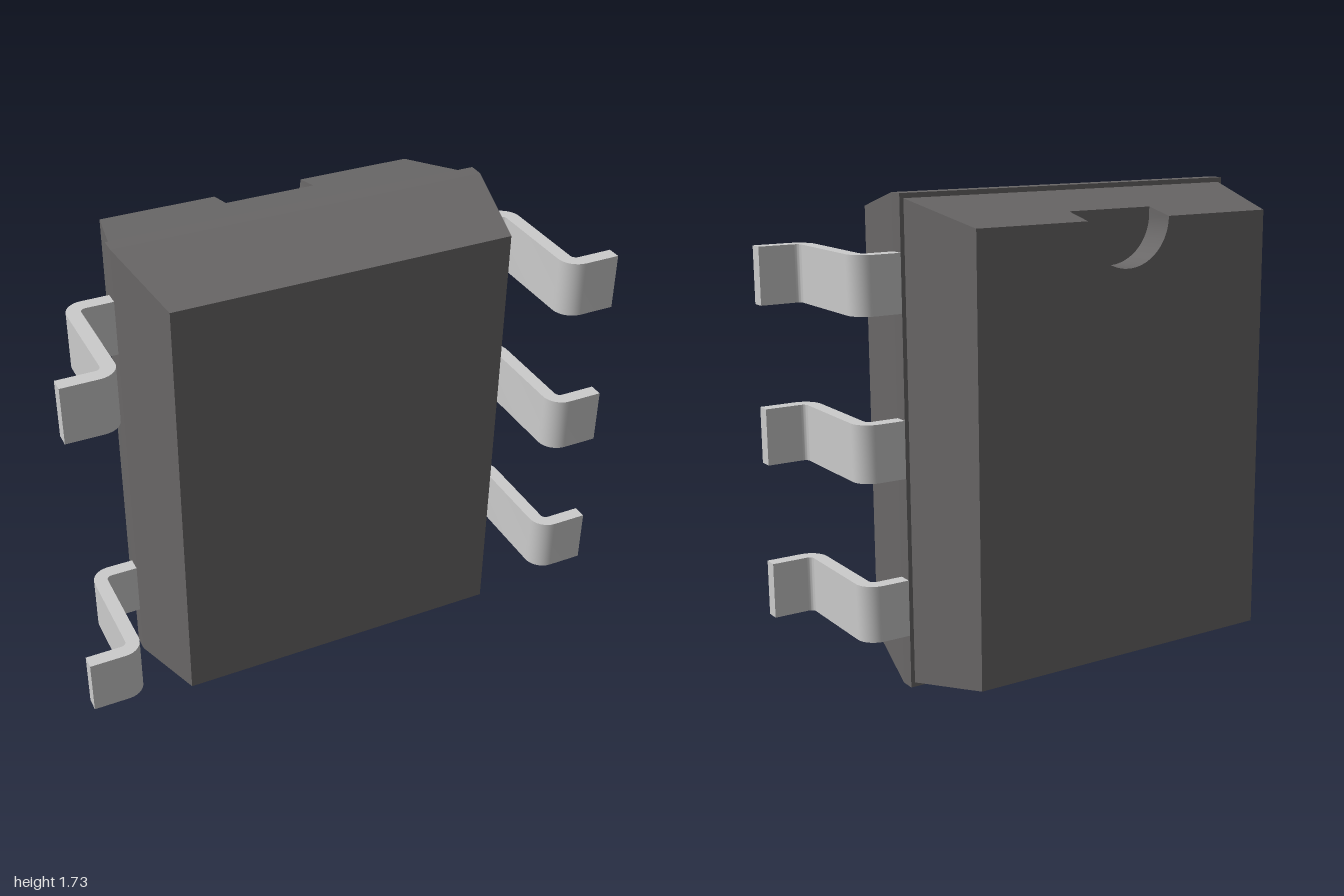
import * as THREE from 'three';
import { toCreasedNormals } from 'three/addons/utils/BufferGeometryUtils.js';

const plastic = new THREE.MeshStandardMaterial({ color: 0x696767 });
const metal = new THREE.MeshStandardMaterial({ color: 0xdededa });

// Outer rectangles of the body: half width, bottom, top, z
const FRONT = { w: 0.61, lo: 0.075, hi: 1.66, z: 0.325 };
const RIM_FRONT = { w: 0.682, lo: 0.004, hi: 1.732, z: -0.015 };
const RIM_BACK = { ...RIM_FRONT, z: -0.07 };
const STEP = { w: 0.667, lo: 0.02, hi: 1.715, z: -0.07 };
const NOTCH_FLOOR = { w: 0.618, lo: 0.067, hi: 1.664, z: -0.3 };
const BACK = { w: 0.595, lo: 0.09, hi: 1.64, z: -0.41 };

function mesh(name, geometry, material) {
  const m = new THREE.Mesh(toCreasedNormals(geometry, 0.5), material);
  m.name = name;
  return m;
}

// Block whose front and back rectangles differ
function taperedBlock(front, back) {
  const g = new THREE.BoxGeometry(1, 1, 1);
  const p = g.attributes.position;
  for (let i = 0; i < p.count; i++) {
    const r = p.getZ(i) > 0 ? front : back;
    p.setXYZ(i, Math.sign(p.getX(i)) * r.w, p.getY(i) > 0 ? r.hi : r.lo, r.z);
  }
  return g;
}

// Back slab with a half-round notch in its top edge
function notchedSlab(front, back, radius) {
  const s = new THREE.Shape();
  s.moveTo(-back.w, back.lo);
  s.lineTo(back.w, back.lo);
  s.lineTo(back.w, back.hi);
  s.lineTo(radius, back.hi);
  s.absarc(0, back.hi, radius, 0, -Math.PI, true);
  s.lineTo(-back.w, back.hi);
  s.closePath();
  const g = new THREE.ExtrudeGeometry(s, { depth: front.z - back.z, bevelEnabled: false, curveSegments: 24 });
  g.translate(0, 0, back.z);
  const p = g.attributes.position;
  for (let i = 0; i < p.count; i++) {
    if (p.getZ(i) < front.z - 0.01) continue;
    const x = p.getX(i), y = p.getY(i);
    if (Math.abs(x) > back.w - 1e-4) p.setX(i, Math.sign(x) * front.w);
    if (y > back.hi - 1e-4) p.setY(i, front.hi);
    else if (y < back.lo + 1e-4) p.setY(i, front.lo);
  }
  return g;
}

// Gull-wing lead: bent strip profile in x and z, extruded upwards
function leadGeometry(side, width) {
  const pts = [];
  const add = (x, z) => pts.push(new THREE.Vector2(side * x, -z));
  const bend = (cx, cz, r, from, to) => {
    for (let i = 0; i <= 8; i++) {
      const a = THREE.MathUtils.degToRad(from + (to - from) * i / 8);
      add(cx + r * Math.cos(a), cz + r * Math.sin(a));
    }
  };
  add(0.6, -0.07);
  bend(0.78, 0, 0.07, -90, 0);
  bend(0.87, 0.337, 0.02, 180, 90);
  add(1, 0.357);
  add(1, 0.407);
  bend(0.87, 0.337, 0.07, 90, 180);
  bend(0.78, 0, 0.02, 0, -90);
  add(0.6, -0.02);
  const g = new THREE.ExtrudeGeometry(new THREE.Shape(pts), { depth: width, bevelEnabled: false });
  g.translate(0, 0, -width / 2);
  return g.rotateX(-Math.PI / 2);
}

export function createModel() {
  const model = new THREE.Group();
  model.name = 'chipPackage';

  const body = new THREE.Group();
  body.name = 'body';
  body.add(
    mesh('frontHalf', taperedBlock(FRONT, RIM_FRONT), plastic),
    mesh('rim', taperedBlock(RIM_FRONT, RIM_BACK), plastic),
    mesh('backHalf', taperedBlock(STEP, NOTCH_FLOOR), plastic),
    mesh('notchedBack', notchedSlab(NOTCH_FLOOR, BACK, 0.168), plastic),
  );
  model.add(body);

  // Three leads on the left, two on the right
  const rows = { left: [0.3, 0.868, 1.436], right: [0.3, 1.436] };
  for (const [side, heights] of Object.entries(rows)) {
    heights.forEach((y, i) => {
      const lead = mesh(`${side}Lead${i + 1}`, leadGeometry(side === 'left' ? 1 : -1, 0.203), metal);
      lead.position.y = y;
      model.add(lead);
    });
  }
  return model;
}
